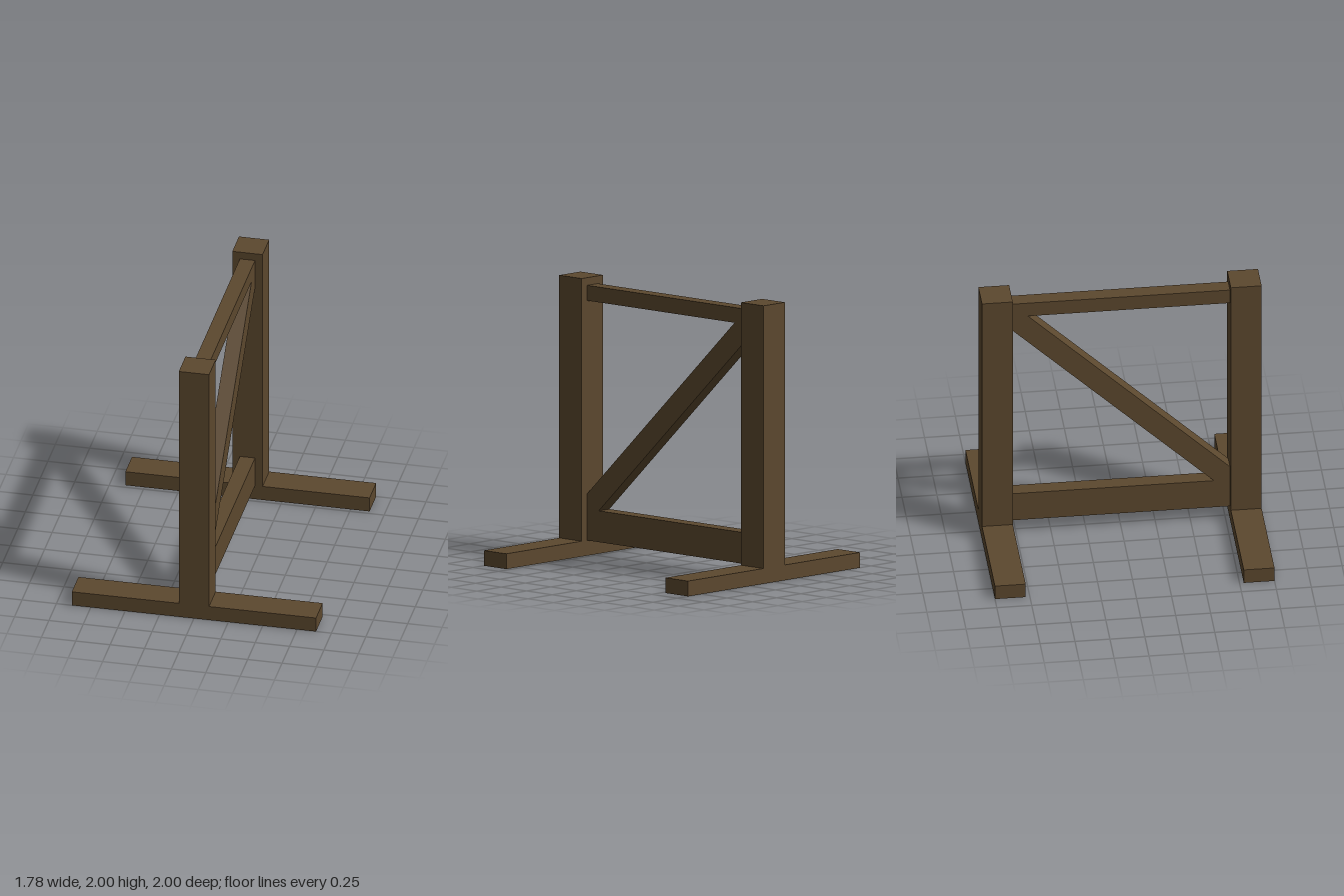
import * as THREE from 'three';

export function createModel() {
  const group = new THREE.Group();
  const wood = new THREE.MeshStandardMaterial({ color: 0x5c482e });

  function add(name, geometry, x = 0, y = 0, z = 0) {
    const mesh = new THREE.Mesh(geometry, wood);
    mesh.name = name;
    mesh.position.set(x, y, z);
    group.add(mesh);
    return mesh;
  }

  // Box spanning y0..y1, centred on x = 0
  function beam(name, width, y0, y1, depth, z) {
    add(name, new THREE.BoxGeometry(width, y1 - y0, depth), 0, (y0 + y1) / 2, z);
  }

  // Foot and upright post at each end
  for (const [end, side] of [['front', 1], ['back', -1]]) {
    beam(end + 'Foot', 1.776, 0, 0.11, 0.22, side * 0.89);
    beam(end + 'Post', 0.22, 0.11, 2, 0.22, side * 0.89);
  }

  // Rails between the posts
  const inner = 0.78, thick = 0.11;
  const railTop = 0.335, railUnder = 1.835;
  beam('lowerRail', thick, 0.11, railTop, inner * 2, 0);
  beam('upperRail', thick, railUnder, 1.945, inner * 2, 0);

  // Diagonal brace, its ends cut to fit the posts and rails
  const brace = new THREE.Shape([
    [inner, railTop], [inner, 0.445], [-0.665, railUnder],
    [-inner, railUnder], [-inner, 1.725], [0.665, railTop],
  ].map(([z, y]) => new THREE.Vector2(z, y)));
  const braceGeometry = new THREE.ExtrudeGeometry(brace, { depth: thick, bevelEnabled: false });
  braceGeometry.translate(0, 0, -thick / 2).rotateY(-Math.PI / 2);
  add('diagonalBrace', braceGeometry);

  return group;
}
